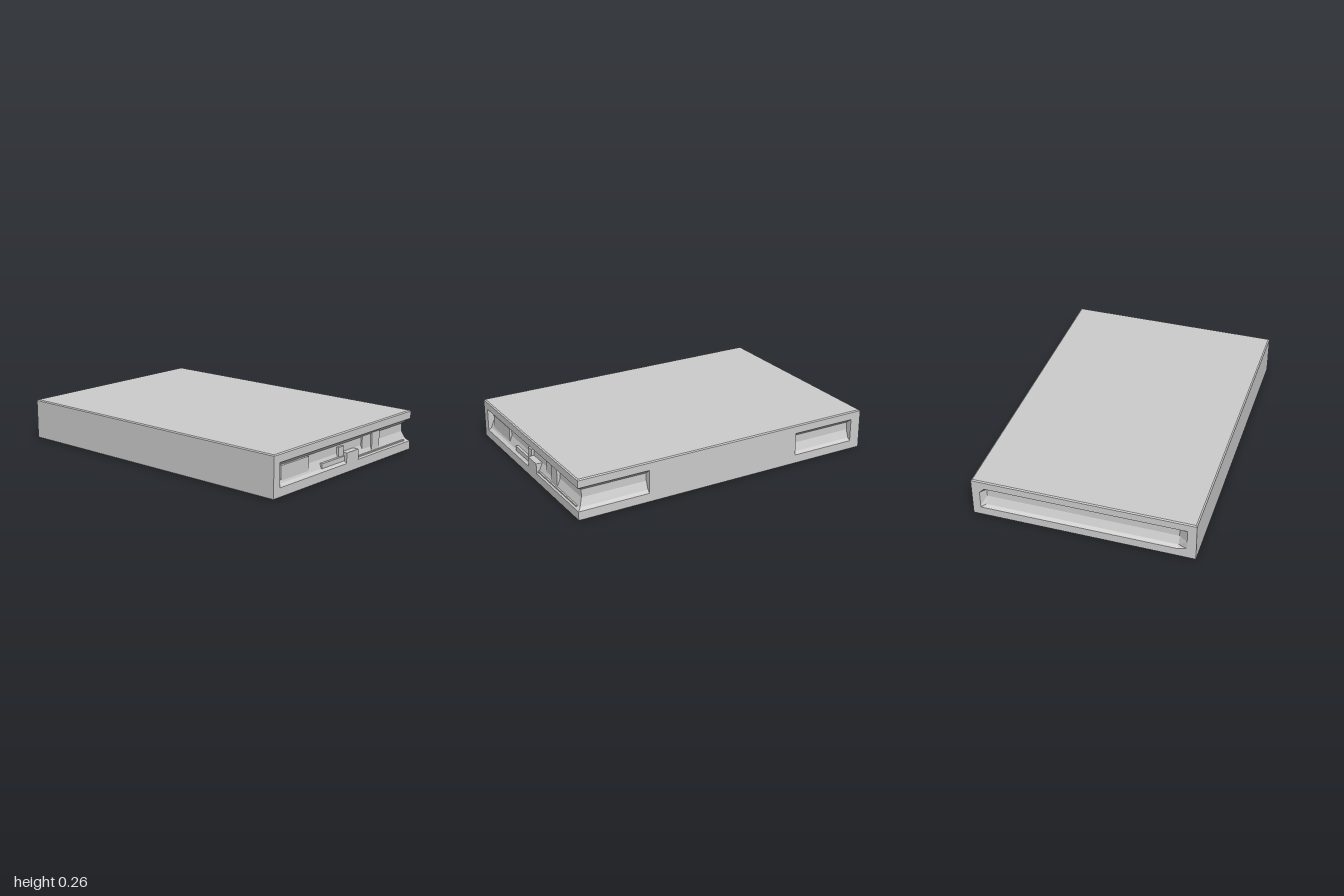
import * as THREE from 'three';

const X = 1, Z = 0.69;

// Horizontal outline, front edge first, running +x, back, -x.
// d is the recess depth at this level, b the edge bevel.
function outline(d, b) {
  const x = X - b, z = Z - b;
  return [
    [-x, z], [x, z],
    [x, 0.635], [x - d, 0.635],             // end of the port recess
    [x - d, -z + d],                        // recess wraps the back corner
    [0.54, -z + d], [0.54, -z],
    [-0.5, -z], [-0.5, -z + d],             // back window
    [-0.93, -z + d], [-0.93, -z],
    [-x, -z],
    [-x, -0.64], [-x + d, -0.61],           // long groove with tapered ends
    [-x + d, 0.58], [-x, 0.635],
  ];
}

// Loft the outline through height levels: [y, recess depth, bevel]
function caseGeometry() {
  const levels = [
    [0, 0, 0.006], [0.006, 0, 0], [0.06, 0, 0], [0.075, 0.02, 0],
    [0.125, 0.04, 0], [0.175, 0.04, 0], [0.207, 0, 0],
    [0.254, 0, 0], [0.26, 0, 0.008],
  ];
  const rings = levels.map(([y, d, b]) =>
    outline(d, b).map(([x, z]) => new THREE.Vector3(x, y, z)));
  const pos = [];
  const tri = (a, b, c) => {
    if (new THREE.Triangle(a, b, c).getArea() < 1e-7) return;
    for (const p of [a, b, c]) pos.push(p.x, p.y, p.z);
  };
  const n = rings[0].length, last = rings.length - 1;
  const bottom = new THREE.Vector3(0, 0, 0), top = new THREE.Vector3(0, 0.26, 0);
  for (let i = 0; i < n; i++) {
    const j = (i + 1) % n;
    for (let k = 0; k < last; k++) {
      tri(rings[k][i], rings[k][j], rings[k + 1][j]);
      tri(rings[k][i], rings[k + 1][j], rings[k + 1][i]);
    }
    tri(top, rings[last][i], rings[last][j]);
    tri(bottom, rings[0][j], rings[0][i]);
  }
  const g = new THREE.BufferGeometry();
  g.setAttribute('position', new THREE.Float32BufferAttribute(pos, 3));
  g.computeVertexNormals();
  return g;
}

export function createModel() {
  const group = new THREE.Group();
  const material = new THREE.MeshStandardMaterial({ color: 0xcccccc, flatShading: true });

  const shell = new THREE.Mesh(caseGeometry(), material);
  shell.name = 'case';
  group.add(shell);

  // Blocks standing in the port recess: name, z from/to, y from/to, outer x
  const blocks = [
    ['bridge', -0.12, 0, 0.06, 0.125, 1],
    ['longPort', 0.34, 0.595, 0.075, 0.175, 0.975],
    ['lowPort', 0, 0.225, 0.075, 0.105, 0.985],
    ['upperTab', 0, 0.05, 0.105, 0.165, 0.975],
    ['smallPort', -0.29, -0.2, 0.08, 0.185, 0.97],
    ['tallPort', -0.37, -0.29, 0.08, 0.19, 0.98],
    ['rearRail', -0.64, -0.12, 0.06, 0.075, 0.99],
  ];
  for (const [name, z0, z1, y0, y1, x1] of blocks) {
    const x0 = 0.94;
    const mesh = new THREE.Mesh(new THREE.BoxGeometry(x1 - x0, y1 - y0, z1 - z0), material);
    mesh.position.set((x0 + x1) / 2, (y0 + y1) / 2, (z0 + z1) / 2);
    mesh.name = name;
    group.add(mesh);
  }
  return group;
}
